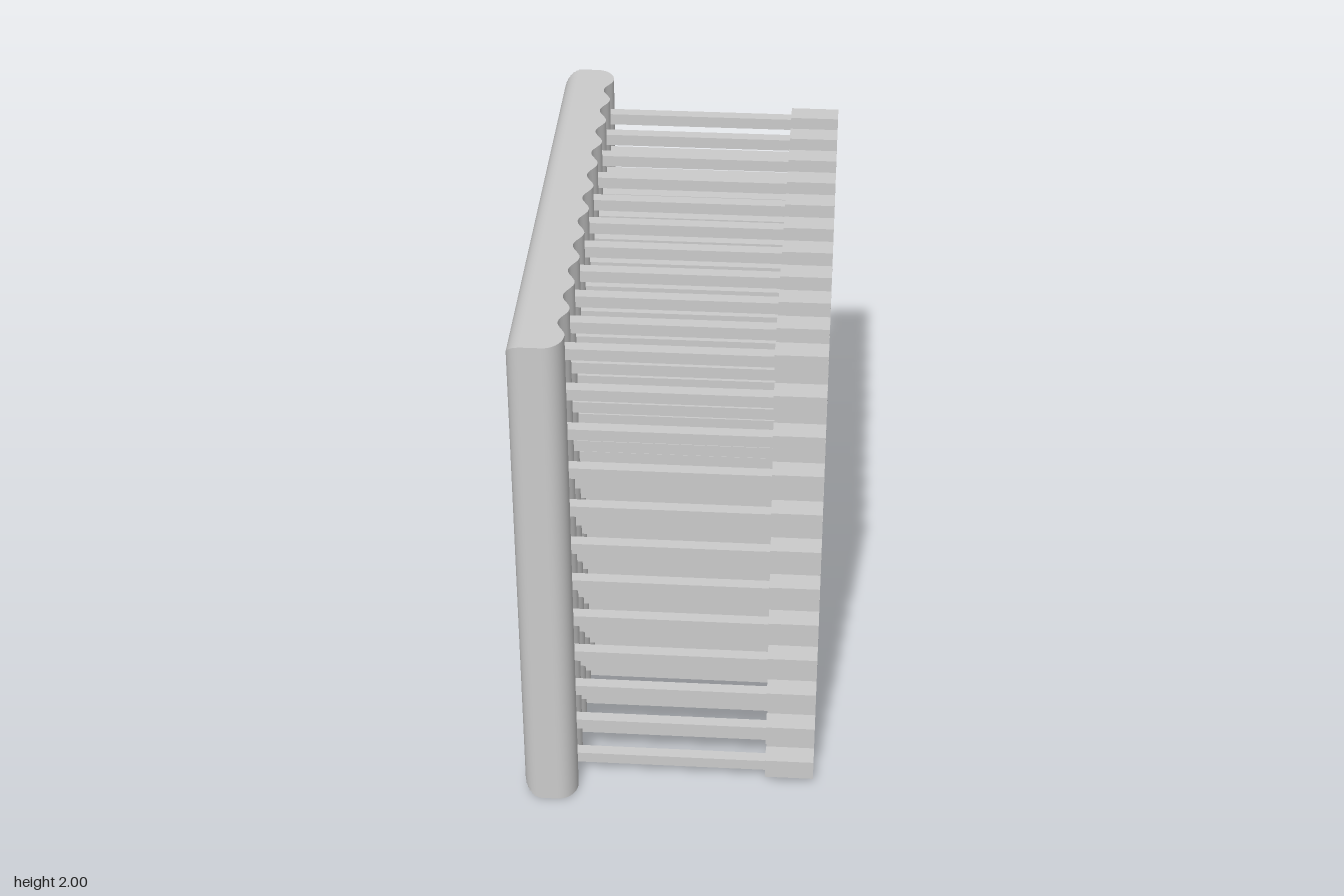
import * as THREE from 'three';
import { toCreasedNormals } from 'three/addons/utils/BufferGeometryUtils.js';

const BACK = -0.535, H = 2, R = 0.062, ARC = 8;
const COLS = 11, ROWS = 12, PITCH_Z = 0.167, PITCH_Y = 0.164;
const Z0 = -0.003, Y0 = 0.079;

// Plan of the panel as (x, z): scalloped front, rounded corners
function panelOutline() {
  const pts = [];
  const corner = (cx, cz, rx, rz, a0, from = 0, to = ARC) => {
    for (let i = from; i <= to; i++) {
      const a = a0 + (i / ARC) * Math.PI / 2;
      pts.push(new THREE.Vector2(cx + rx * Math.cos(a), cz + rz * Math.sin(a)));
    }
  };
  const zEnd = PITCH_Z * COLS / 2, rz = 1 - zEnd;
  corner(-0.41, -zEnd, 0.07, rz, -Math.PI / 2);
  const n = COLS * 12;
  for (let i = 1; i < n; i++) {
    const z = -zEnd + (2 * zEnd * i) / n;
    pts.push(new THREE.Vector2(-0.356 - 0.016 * Math.cos(2 * Math.PI * z / PITCH_Z), z));
  }
  corner(-0.41, zEnd, 0.07, rz, 0);
  corner(BACK + R, 1 - R, R, R, Math.PI / 2);
  corner(BACK + R, -1 + R, R, R, Math.PI);
  return pts;
}

// Stack the plan upwards, trimming the back to round its top and bottom edges
function panelGeometry() {
  const outline = panelOutline(), n = outline.length;
  const levels = [];
  for (let i = 0; i <= ARC; i++) {
    const a = (i / ARC) * Math.PI / 2;
    levels.push([R * (1 - Math.cos(a)), BACK + R * (1 - Math.sin(a))]);
  }
  for (let i = ARC; i >= 0; i--) levels.push([H - levels[i][0], levels[i][1]]);

  const pos = [], index = [];
  for (const [y, minX] of levels) {
    for (const p of outline) pos.push(Math.max(p.x, minX), y, p.y);
  }
  for (let l = 0; l < levels.length - 1; l++) {
    for (let i = 0; i < n; i++) {
      const a = l * n + i, b = l * n + (i + 1) % n;
      index.push(a, a + n, b, b, a + n, b + n);
    }
  }
  const endPlan = outline.map(p => new THREE.Vector2(Math.max(p.x, levels[0][1]), p.y));
  const top = (levels.length - 1) * n;
  for (const [a, b, c] of THREE.ShapeUtils.triangulateShape(endPlan, [])) {
    index.push(a, b, c, top + a, top + c, top + b);
  }
  const geo = new THREE.BufferGeometry();
  geo.setAttribute('position', new THREE.Float32BufferAttribute(pos, 3));
  geo.setIndex(index);
  return toCreasedNormals(geo, 0.6);
}

export function createModel() {
  const model = new THREE.Group();
  model.name = 'pegPanel';
  const mat = new THREE.MeshStandardMaterial({ color: 0xcccccc });
  const add = (parent, name, geo, x = 0, y = 0, z = 0) => {
    const mesh = new THREE.Mesh(geo, mat);
    mesh.name = name;
    mesh.position.set(x, y, z);
    parent.add(mesh);
  };

  add(model, 'backPanel', panelGeometry());

  // Grid of square rods, each with a thicker square tip
  const rodGeo = new THREE.BoxGeometry(0.76, 0.044, 0.044);
  const tipGeo = new THREE.BoxGeometry(0.18, 0.08, 0.08);
  for (let r = 0; r < ROWS; r++) {
    const row = new THREE.Group();
    row.name = 'pegRow' + (r + 1);
    row.position.y = Y0 + r * PITCH_Y;
    for (let c = 0; c < COLS; c++) {
      const z = Z0 + (c - (COLS - 1) / 2) * PITCH_Z;
      add(row, 'rod', rodGeo, -0.02, 0, z);
      add(row, 'tip', tipGeo, 0.445, 0, z);
    }
    model.add(row);
  }
  return model;
}
